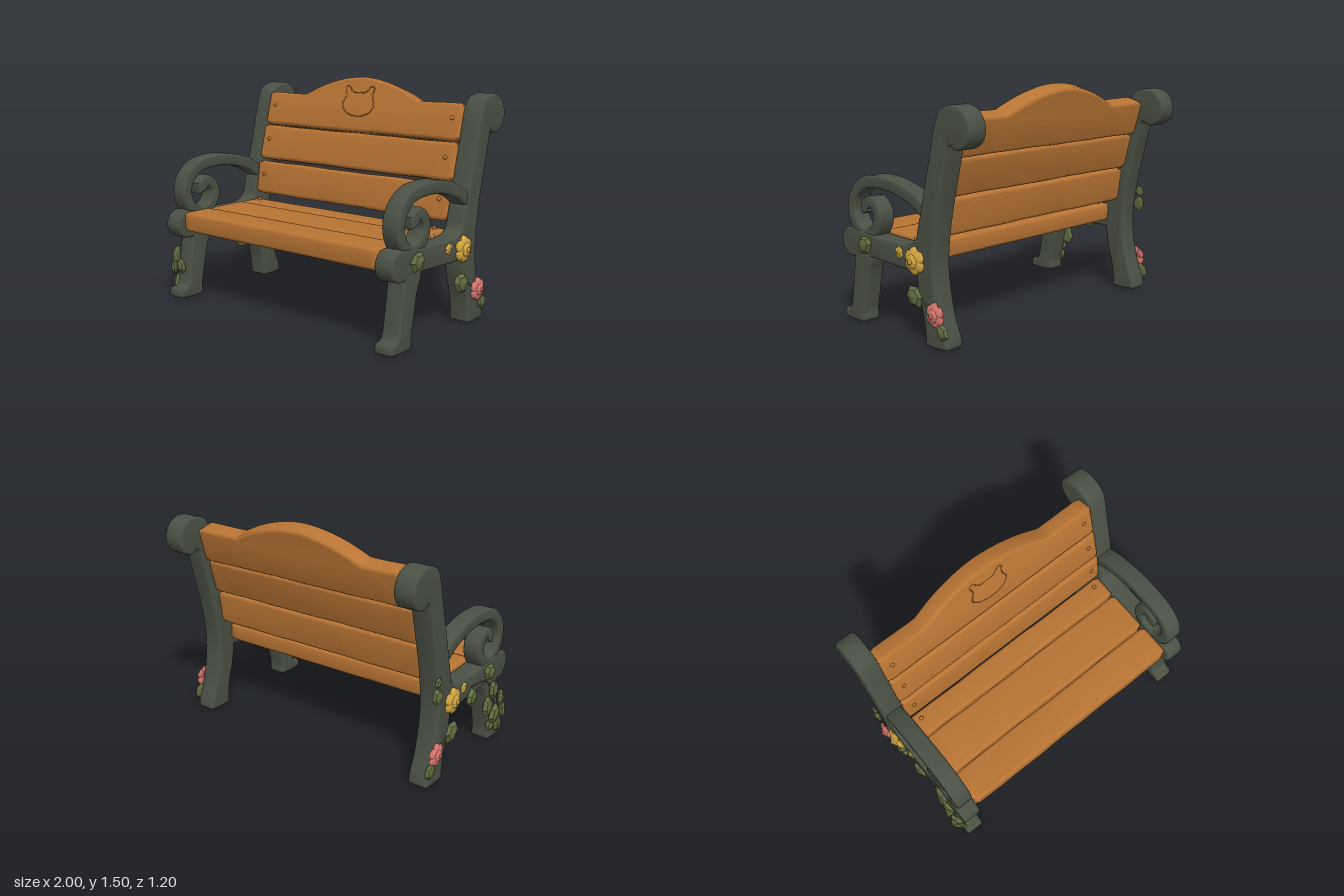
import * as THREE from 'three';
import { toCreasedNormals } from 'three/addons/utils/BufferGeometryUtils.js';

const material = (name, color, extra = {}) => {
  const m = new THREE.MeshStandardMaterial({ color, ...extra });
  m.name = name;
  return m;
};

export function createModel() {
  const wood = material('warm wood', 0xb87434);
  const iron = material('grey green iron', 0x4b5145);
  const leafGreen = material('leaf green', 0x616c40, { flatShading: true });
  const yellow = material('yellow petals', 0xd6a842, { flatShading: true });
  const pink = material('pink petals', 0xd87870, { flatShading: true });

  const model = new THREE.Group();
  model.name = 'gardenBench';

  const add = (parent, name, geometry, mat) => {
    const mesh = new THREE.Mesh(geometry, mat);
    mesh.name = name;
    parent.add(mesh);
    return mesh;
  };

  // Extrude with softened edges; the finished solid is `depth` thick, centred on z = 0
  const softExtrude = (shape, depth, bevel) => {
    const g = new THREE.ExtrudeGeometry(shape, {
      depth: depth - 2 * bevel, bevelEnabled: true, bevelThickness: bevel,
      bevelSize: bevel, bevelOffset: -bevel, bevelSegments: 3, curveSegments: 12,
    });
    g.translate(0, 0, bevel - depth / 2);
    return toCreasedNormals(g, 0.7);
  };

  const spline = (points, closed) =>
    new THREE.CatmullRomCurve3(points.map(([a, b]) => new THREE.Vector3(a, b, 0)), closed, 'centripetal');

  // ---- Wooden slats: slightly wavy boards, with an optional raised top edge ----
  const board = (height, depth, seed, rise = () => 0) => {
    const half = 0.82, n = 48, c = 0.015, low = [], high = [];
    for (let i = 0; i <= n; i++) {
      const x = -half + (2 * half * i) / n;
      const end = i === 0 || i === n ? c : 0;
      const wave = 0.0015 * Math.sin(x * 7 + seed) + 0.001 * Math.sin(x * 17 + seed * 3);
      low.push(new THREE.Vector2(x, -height / 2 + wave + end));
      high.push(new THREE.Vector2(x, height / 2 - wave - end + rise(x)));
    }
    return softExtrude(new THREE.Shape([...low, ...high.reverse()]), depth, 0.022);
  };

  const addPegs = (parent, y, front) => {
    for (const s of [-1, 1]) {
      const peg = add(parent, 'woodenPeg', new THREE.SphereGeometry(0.014, 10, 8), wood);
      peg.position.set(s * 0.75, y, front);
      peg.scale.z = 0.8;
    }
  };

  // Seat: centre z, width, thickness, top height
  [['frontSeatSlat', 0.435, 0.235, 0.13, 0.602], ['middleSeatSlat', 0.16, 0.298, 0.11, 0.602],
    ['rearSeatSlat', -0.083, 0.168, 0.12, 0.6]].forEach(([name, z, width, depth, top], i) => {
    const slat = new THREE.Group();
    slat.name = name;
    add(slat, name + 'Board', board(width, depth, i * 2 + 1), wood);
    if (i === 2) addPegs(slat, 0.03, depth / 2 + 0.006);
    slat.rotation.x = -Math.PI / 2;
    slat.position.set(0, top - depth / 2, z);
    model.add(slat);
  });

  // Backrest: the top board carries a broad arch
  const arch = (x) => {
    const t = Math.min(1, Math.abs(x) / 0.48);
    return 0.137 * (1 - t * t) * (1 - 0.1 * t * t * t);
  };
  // name, centre y, front z, height, thickness, lean
  let topSlat;
  [['lowerBackSlat', 0.762, -0.16, 0.23, 0.1, 0.14], ['middleBackSlat', 1.015, -0.215, 0.242, 0.11, 0.25],
    ['archedBackSlat', 1.255, -0.282, 0.236, 0.125, 0.27]].forEach(([name, y, z, height, depth, lean], i) => {
    const slat = new THREE.Group();
    slat.name = name;
    add(slat, name + 'Board', board(height, depth, i * 2 + 8, i === 2 ? arch : undefined), wood)
      .position.z = -depth / 2;
    addPegs(slat, 0.02, 0);
    slat.rotation.x = -lean;
    slat.position.set(0, y, z);
    model.add(slat);
    topSlat = slat;
  });

  // Shallow animal face outline on the arched board
  const face = spline(
    [[-0.125, 0.18], [-0.1, 0.19], [-0.06, 0.15], [0, 0.145], [0.05, 0.15], [0.09, 0.19], [0.115, 0.185],
      [0.11, 0.12], [0.132, 0.06], [0.09, 0.005], [0, -0.015], [-0.09, 0.005], [-0.135, 0.06], [-0.11, 0.12]], true);
  add(topSlat, 'carvedOutline', new THREE.TubeGeometry(face, 70, 0.004, 5, true), wood).position.z = -0.001;

  // ---- Iron end frames: profiles are (z, y), extruded along x ----
  const outline = (points) =>
    new THREE.Shape(spline(points, true).getPoints(110).slice(0, -1).map((p) => new THREE.Vector2(p.x, p.y)));

  const ribbon = (points, w0, w1) => {
    const curve = spline(points, false), left = [], right = [], n = 64;
    for (let i = 0; i <= n; i++) {
      const p = curve.getPointAt(i / n), t = curve.getTangentAt(i / n), w = w0 + ((w1 - w0) * i) / n;
      left.push(new THREE.Vector2(p.x - t.y * w, p.y + t.x * w));
      right.push(new THREE.Vector2(p.x + t.y * w, p.y - t.x * w));
    }
    return new THREE.Shape([...left, ...right.reverse()]);
  };

  const post = outline([
    [-0.215, 0.01], [-0.21, 0.04], [-0.195, 0.16], [-0.155, 0.3], [-0.138, 0.42], [-0.14, 0.6], [-0.18, 0.8],
    [-0.265, 1.14], [-0.315, 1.33], [-0.345, 1.385], [-0.4, 1.415], [-0.475, 1.425], [-0.555, 1.39],
    [-0.598, 1.3], [-0.57, 1.215], [-0.49, 1.178], [-0.43, 1.2], [-0.405, 1.12], [-0.37, 0.98],
    [-0.318, 0.76], [-0.287, 0.55], [-0.29, 0.4], [-0.33, 0.2], [-0.385, 0.05], [-0.385, 0.012], [-0.37, 0.008]]);
  const rail = outline([
    [-0.22, 0.45], [-0.1, 0.43], [0.1, 0.435], [0.3, 0.44], [0.42, 0.425], [0.52, 0.42], [0.575, 0.45],
    [0.598, 0.51], [0.575, 0.575], [0.52, 0.605], [0.42, 0.6], [0.3, 0.59], [0.1, 0.58], [-0.06, 0.585],
    [-0.12, 0.62], [-0.145, 0.7], [-0.17, 0.77], [-0.24, 0.75]]);
  const frontLeg = outline([
    [0.395, 0.008], [0.387, 0.025], [0.39, 0.07], [0.365, 0.2], [0.335, 0.34], [0.3, 0.44], [0.34, 0.5],
    [0.45, 0.5], [0.475, 0.38], [0.5, 0.22], [0.522, 0.1], [0.54, 0.075], [0.58, 0.065], [0.591, 0.04],
    [0.588, 0.01], [0.57, 0.005]]);
  const arm = ribbon([
    [-0.21, 0.785], [-0.1, 0.853], [0.05, 0.902], [0.22, 0.919], [0.38, 0.895], [0.472, 0.82], [0.499, 0.73],
    [0.47, 0.635], [0.4, 0.58], [0.3, 0.595], [0.245, 0.67], [0.25, 0.74], [0.31, 0.787], [0.366, 0.755],
    [0.352, 0.715]], 0.042, 0.037);

  for (const s of [-1, 1]) {
    const frame = new THREE.Group();
    frame.name = s > 0 ? 'leftEndFrame' : 'rightEndFrame';
    [['backPost', post, 0.136], ['seatRail', rail, 0.126], ['frontLeg', frontLeg, 0.126],
      ['scrolledArmrest', arm, 0.116]].forEach(([name, shape, width]) => {
      add(frame, name, softExtrude(shape, width, 0.016).rotateY(-Math.PI / 2), iron);
    });
    frame.position.x = s * 0.882;
    model.add(frame);
  }

  // ---- Climbing plants ----
  // Leaf: a faceted lozenge, pointed at its tip and curled backwards
  const leafGeometry = new THREE.SphereGeometry(0.5, 6, 4).rotateX(Math.PI / 2);
  const lp = leafGeometry.attributes.position;
  for (let i = 0; i < lp.count; i++) {
    const x = lp.getX(i), y = lp.getY(i), z = lp.getZ(i);
    lp.setXYZ(i, x * (1 - 0.5 * y), y * 1.2, z * 0.4 - (x * x + y * y) * 0.35);
  }
  leafGeometry.computeVertexNormals();
  const leaf = (s, x, y, z, size, spin, turn = 1.57) => {
    const m = add(model, 'leaf', leafGeometry, leafGreen);
    m.position.set(s * x, y, z);
    m.rotation.set(0, s * turn, spin, 'YXZ');
    m.scale.setScalar(size);
  };

  // Flower: broad overlapping petals in one scalloped disc, with a smaller ring and heart
  const petal = new THREE.IcosahedronGeometry(1, 1);
  const flower = (name, s, x, y, z, radius, mat) => {
    const group = new THREE.Group();
    group.name = name;
    // petal count, ring radius, petal size and lift, as shares of the flower's radius
    [[6, 0.56, 0.47, 0], [5, 0.22, 0.36, 0.16], [1, 0, 0.22, 0.3]].forEach(([count, ring, size, lift]) => {
      for (let i = 0; i < count; i++) {
        const a = (i / count) * Math.PI * 2 + ring;
        const p = add(group, 'petal', petal, mat);
        p.position.set(Math.cos(a) * ring * radius, Math.sin(a) * ring * radius, lift * radius);
        p.scale.set(size * radius, size * radius, 0.2 * radius);
        p.rotation.set(-Math.sin(a) * 0.25, Math.cos(a) * 0.25, 0);
      }
    });
    group.rotation.y = s * Math.PI / 2;
    group.position.set(s * x, y, z);
    model.add(group);
  };

  for (const s of [-1, 1]) {
    flower('yellowFlower', s, 0.96, 0.5, -0.13, 0.085, yellow);
    flower('yellowBud', s, 0.946, 0.525, 0.02, 0.036, yellow);
    flower('pinkFlower', s, 0.96, 0.21, -0.305, 0.075, pink);
    leaf(s, 0.955, 0.515, 0.35, 0.115, s * -1.0);
    leaf(s, 0.955, 0.285, -0.12, 0.13, s * 1.1);
    leaf(s, 0.955, 0.12, -0.36, 0.095, s * 0.6);
  }

  // Denser foliage on the right-hand frame
  [[0.965, 0.28, 0.505, 0.11, 0.3, 1.2], [0.97, 0.2, 0.52, 0.11, -0.5, 0.9], [0.955, 0.1, 0.49, 0.125, 0.7, 1.3],
    [0.955, 0.27, 0.345, 0.125, 0.2, 1.5], [0.95, 0.11, 0.4, 0.085, 1, 1.6], [0.965, 0.19, 0.43, 0.125, -0.8, 1.5],
    [0.9, 0.21, 0.52, 0.095, 0.6, 0.2], [0.955, 0.425, 0.12, 0.125, 1.5, 1.4], [0.965, 0.6, -0.32, 0.095, 0.4, 1.7],
    [0.965, 0.69, -0.32, 0.065, -0.6, 1.5], [0.96, 0.37, 0.41, 0.115, 0.5, 1.5]]
    .forEach((v) => leaf(-1, ...v));

  // Thin vine stems tying the leaves together
  const vine = (points) => add(model, 'vineStem', new THREE.TubeGeometry(
    new THREE.CatmullRomCurve3(points.map((p) => new THREE.Vector3(...p))), 24, 0.006, 5), iron);
  vine([[-0.945, 0.06, 0.47], [-0.95, 0.18, 0.48], [-0.948, 0.3, 0.42], [-0.945, 0.45, 0.33], [-0.945, 0.5, 0.1]]);
  for (const s of [-1, 1]) vine([[s * 0.95, 0.3, -0.15], [s * 0.952, 0.25, -0.23], [s * 0.952, 0.15, -0.33]]);

  return model;
}
